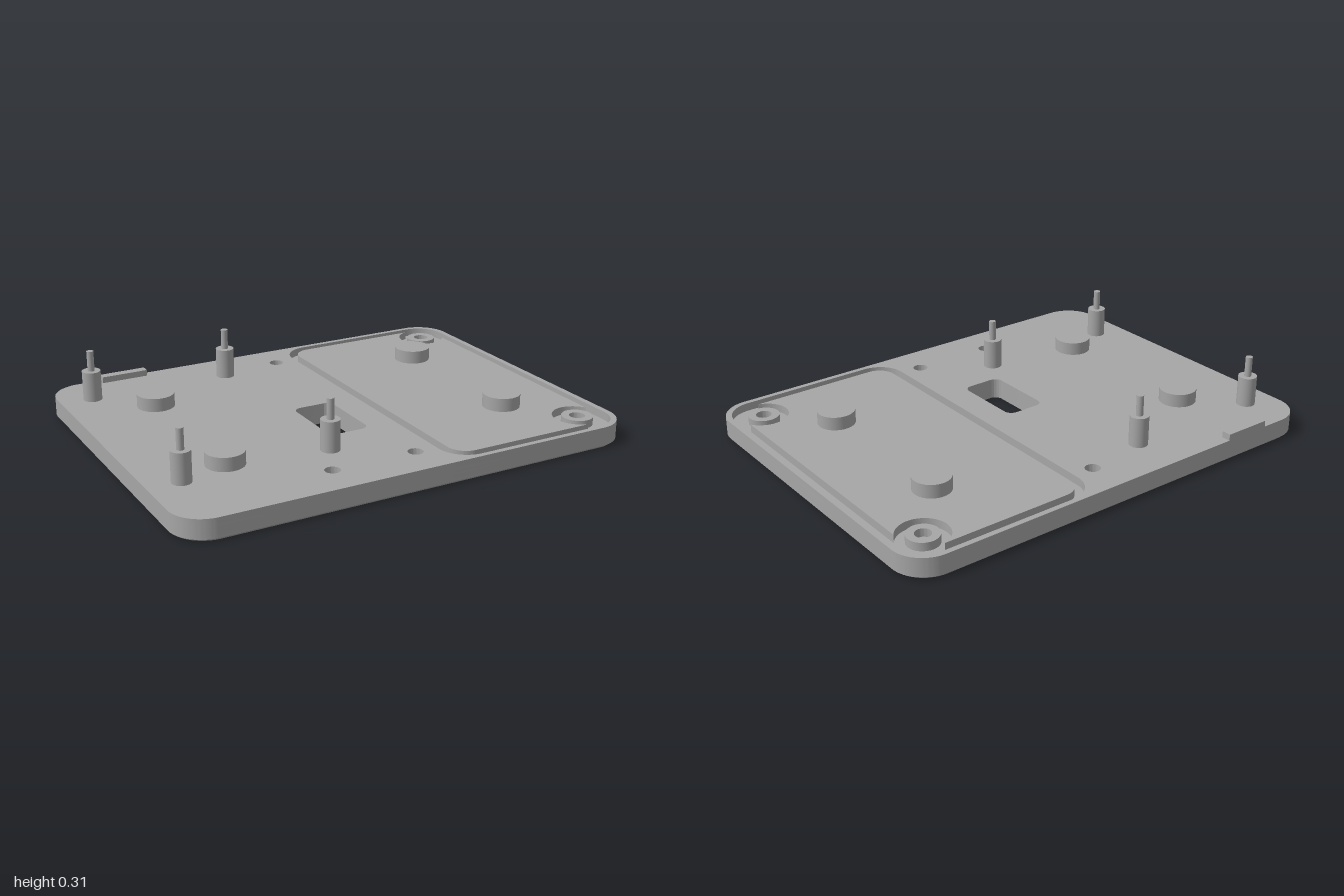
import * as THREE from 'three';
import { toCreasedNormals } from 'three/addons/utils/BufferGeometryUtils.js';

const HX = 1, HZ = 0.768, TOP = 0.09, FLOOR = 0.055, BORE = 0.04, CHAMFER = 0.01;

// Rounded rectangle in plan (x, z)
function roundedRect(x0, z0, x1, z1, r, Type = THREE.Shape) {
  const p = new Type();
  p.moveTo(x0 + r, z0);
  p.lineTo(x1 - r, z0);
  p.absarc(x1 - r, z0 + r, r, -Math.PI / 2, 0, false);
  p.lineTo(x1, z1 - r);
  p.absarc(x1 - r, z1 - r, r, 0, Math.PI / 2, false);
  p.lineTo(x0 + r, z1);
  p.absarc(x0 + r, z1 - r, r, Math.PI / 2, Math.PI, false);
  p.lineTo(x0, z0 + r);
  p.absarc(x0 + r, z0 + r, r, Math.PI, Math.PI * 1.5, false);
  return p;
}

function circle(x, z, r, Type = THREE.Path) {
  const p = new Type();
  p.absarc(x, z, r, 0, Math.PI * 2, false);
  return p;
}

// Extrude a plan shape between two heights
function slab(shape, y0, y1) {
  const geo = new THREE.ExtrudeGeometry(shape, { depth: y1 - y0, bevelEnabled: false, curveSegments: 16 });
  geo.rotateX(Math.PI / 2);
  geo.translate(0, y1, 0);
  return geo;
}

export function createModel() {
  const group = new THREE.Group();
  const grey = new THREE.MeshStandardMaterial({ color: 0xa6a6a6 });
  grey.name = 'grey plastic';

  function add(name, geo, x = 0, y = 0, z = 0) {
    const mesh = new THREE.Mesh(geo, grey);
    mesh.name = name;
    mesh.position.set(x, y, z);
    group.add(mesh);
  }
  const addSlab = (name, shape, y0, y1) => add(name, toCreasedNormals(slab(shape, y0, y1), 0.5));
  const cylinder = (name, x, z, r, y0, y1) =>
    add(name, new THREE.CylinderGeometry(r, r, y1 - y0, 40), x, (y0 + y1) / 2, z);

  const plainScrews = [[0.05, -0.605], [0.05, 0.605], [-0.32, 0.605]];
  const cornerScrews = [[0.85, -0.605], [0.85, 0.605]];
  const padSpots = [[-0.65, -0.355], [-0.65, 0.355], [0.64, -0.355], [0.64, 0.355]];

  // Plate outline with the central slot
  function plate(...holes) {
    const s = roundedRect(-HX, -HZ, HX, HZ, 0.14);
    s.holes.push(roundedRect(-0.16, -0.03, 0.02, 0.3, 0.035, THREE.Path), ...holes);
    return s;
  }

  // Underside: screw counterbores and small blind holes, chamfered edge
  const bores = () => [
    ...[...plainScrews, ...cornerScrews].map(([x, z]) => circle(x, z, 0.058)),
    ...padSpots.map(([x, z]) => circle(x, z, 0.022)),
  ];
  const chamfer = slab(plate(...bores()), 0, CHAMFER);
  const pos = chamfer.attributes.position;
  for (let i = 0; i < pos.count; i++) {
    const x = pos.getX(i), z = pos.getZ(i);
    const onRim = Math.abs(x) > 0.92 || Math.abs(z) > 0.7;
    if (onRim && pos.getY(i) < CHAMFER / 2) {
      pos.setX(i, x * (1 - CHAMFER / HX));
      pos.setZ(i, z * (1 - CHAMFER / HZ));
    }
  }
  add('chamferedUnderside', toCreasedNormals(chamfer, 0.5));
  addSlab('lowerPlate', plate(...bores()), CHAMFER, BORE);

  // Solid web, which is also the floor of the groove and the holes
  addSlab('middlePlate', plate(), BORE, FLOOR);

  // Top layer, open around the groove
  addSlab('upperPlate', plate(
    roundedRect(0.145, -0.745, 0.975, 0.745, 0.12, THREE.Path),
    ...plainScrews.map(([x, z]) => circle(x, z, 0.032)),
  ), FLOOR, TOP);

  // Island inside the groove, cut away round the two corner bosses
  const x0 = 0.185, x1 = 0.94, zE = 0.707, r = 0.08, R = 0.105;
  const [cx, cz] = cornerScrews[1];
  const aSide = Math.acos((x1 - cx) / R), aEnd = Math.PI - Math.asin((zE - cz) / R);
  const island = new THREE.Shape();
  island.moveTo(x0, zE - r);
  island.lineTo(x0, -zE + r);
  island.absarc(x0 + r, -zE + r, r, Math.PI, Math.PI * 1.5, false);
  island.absarc(cx, -cz, R, -aEnd, aSide - Math.PI * 2, true);
  island.absarc(cx, cz, R, -aSide, aEnd - Math.PI * 2, true);
  island.absarc(x0 + r, zE - r, r, Math.PI / 2, Math.PI, false);
  addSlab('grooveIsland', island, FLOOR, TOP);

  // Corner screw bosses
  for (const [x, z] of cornerScrews) {
    const boss = circle(x, z, 0.066, THREE.Shape);
    boss.holes.push(circle(x, z, 0.033));
    addSlab('screwBoss', boss, FLOOR, TOP);
  }

  // Round pads
  for (const [x, z] of padSpots) cylinder('roundPad', x, z, 0.08, TOP - 0.01, 0.148);

  // Standoffs with locating pins
  for (const x of [-0.86, -0.232]) {
    for (const z of [-0.56, 0.428]) {
      cylinder('standoff', x, z, 0.04, TOP - 0.01, 0.22);
      cylinder('locatingPin', x, z, 0.015, 0.21, 0.308);
    }
  }

  // Tab on the rear edge
  add('rearTab', new THREE.BoxGeometry(0.21, 0.04, 0.04), -0.65, 0.097, -HZ + 0.02);

  return group;
}
